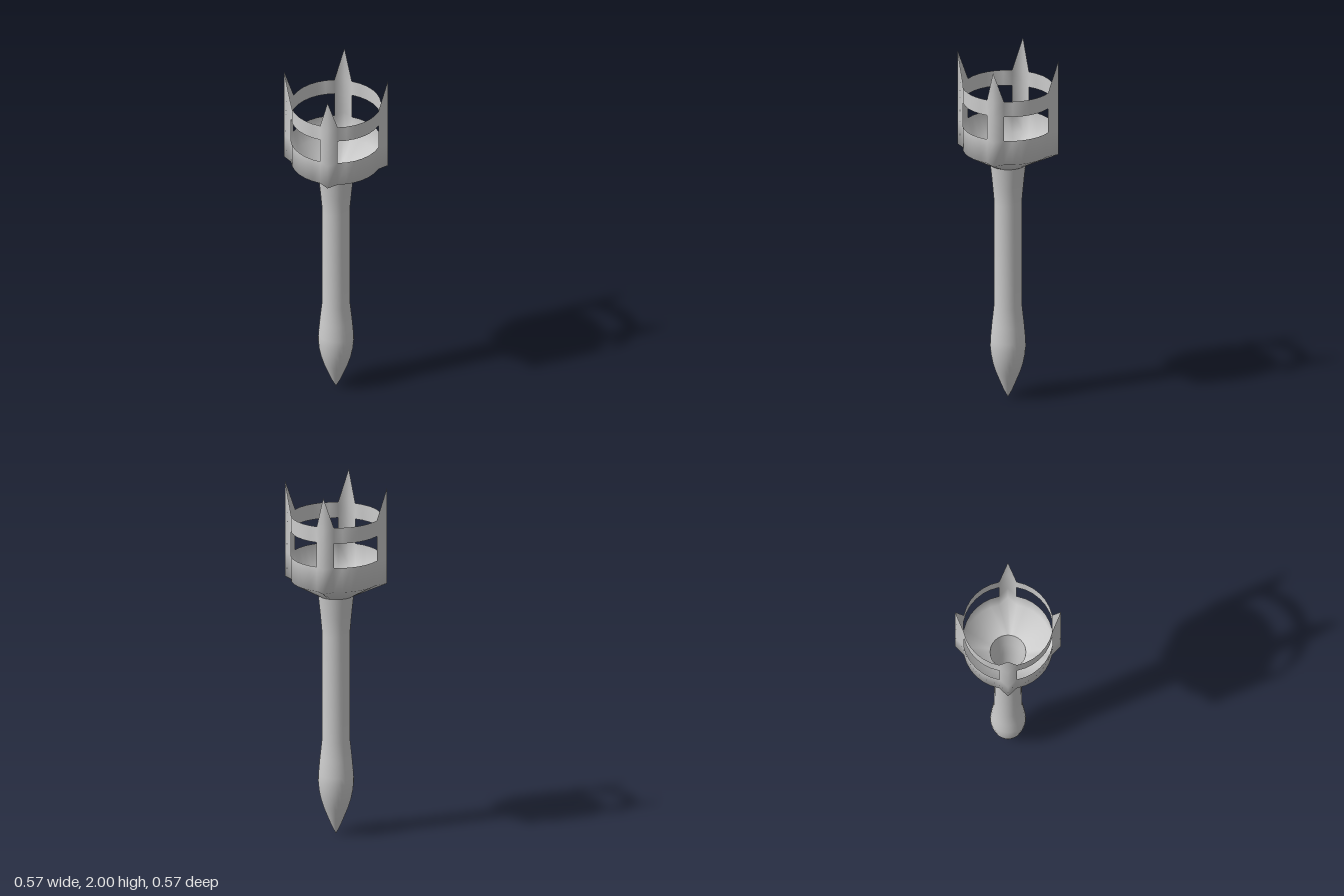
import * as THREE from 'three';

const SIDES = 32;
const material = new THREE.MeshStandardMaterial({ color: 0xcccccc, side: THREE.DoubleSide });

// Hollow stem: pointed tip, bulging grip, straight shaft, flared neck
function makeStem() {
  const profile = [
    [0, 0], [0.024, 0.045], [0.047, 0.1], [0.067, 0.15], [0.083, 0.2], [0.093, 0.25],
    [0.098, 0.3], [0.097, 0.34], [0.089, 0.43], [0.077, 0.54], [0.076, 0.84],
    [0.076, 1.14], [0.086, 1.25], [0.098, 1.365],
  ].map(([r, y]) => new THREE.Vector2(r, y));
  const stem = new THREE.Mesh(new THREE.LatheGeometry(profile, SIDES), material);
  stem.name = 'stem';
  return stem;
}

// Thin cup with four ridged posts, four windows and a spike on each post
function makeHead() {
  const levels = [1.365, 1.45, 1.59, 1.73, 1.82];
  const windowRow = 2;
  const tipY = 2;
  const positions = [];
  const indices = [];
  const isRidge = (i) => i % 8 === 1;
  const isPost = (i) => i % 8 < 2;

  const addPoint = (i, r, y) => {
    const a = (i / SIDES) * Math.PI * 2;
    positions.push(r * Math.cos(a), y, r * Math.sin(a));
    return positions.length / 3 - 1;
  };

  // Rings of points, pushed outward along each post's ridge
  levels.forEach((y, row) => {
    for (let i = 0; i < SIDES; i++) {
      addPoint(i, row === 0 ? 0.098 : isRidge(i) ? 0.289 : 0.247, y);
    }
  });
  const at = (row, i) => row * SIDES + (i % SIDES);

  // Wall panels, leaving the windows open
  for (let row = 0; row < levels.length - 1; row++) {
    for (let i = 0; i < SIDES; i++) {
      if (row === windowRow && !isPost(i)) continue;
      const a = at(row, i), b = at(row, i + 1), c = at(row + 1, i), d = at(row + 1, i + 1);
      indices.push(b, a, c, b, c, d);
    }
  }

  // Spikes continuing the ridges upward
  const top = levels.length - 1;
  for (let i = 1; i < SIDES; i += 8) {
    const tip = addPoint(i, 0.289, tipY);
    indices.push(at(top, i), at(top, i - 1), tip, at(top, i + 1), at(top, i), tip);
  }

  const geometry = new THREE.BufferGeometry();
  geometry.setAttribute('position', new THREE.Float32BufferAttribute(positions, 3));
  geometry.setIndex(indices);
  geometry.computeVertexNormals();
  const head = new THREE.Mesh(geometry, material);
  head.name = 'spikedHead';
  return head;
}

export function createModel() {
  const group = new THREE.Group();
  group.name = 'spikedTorch';
  group.add(makeStem(), makeHead());
  return group;
}
